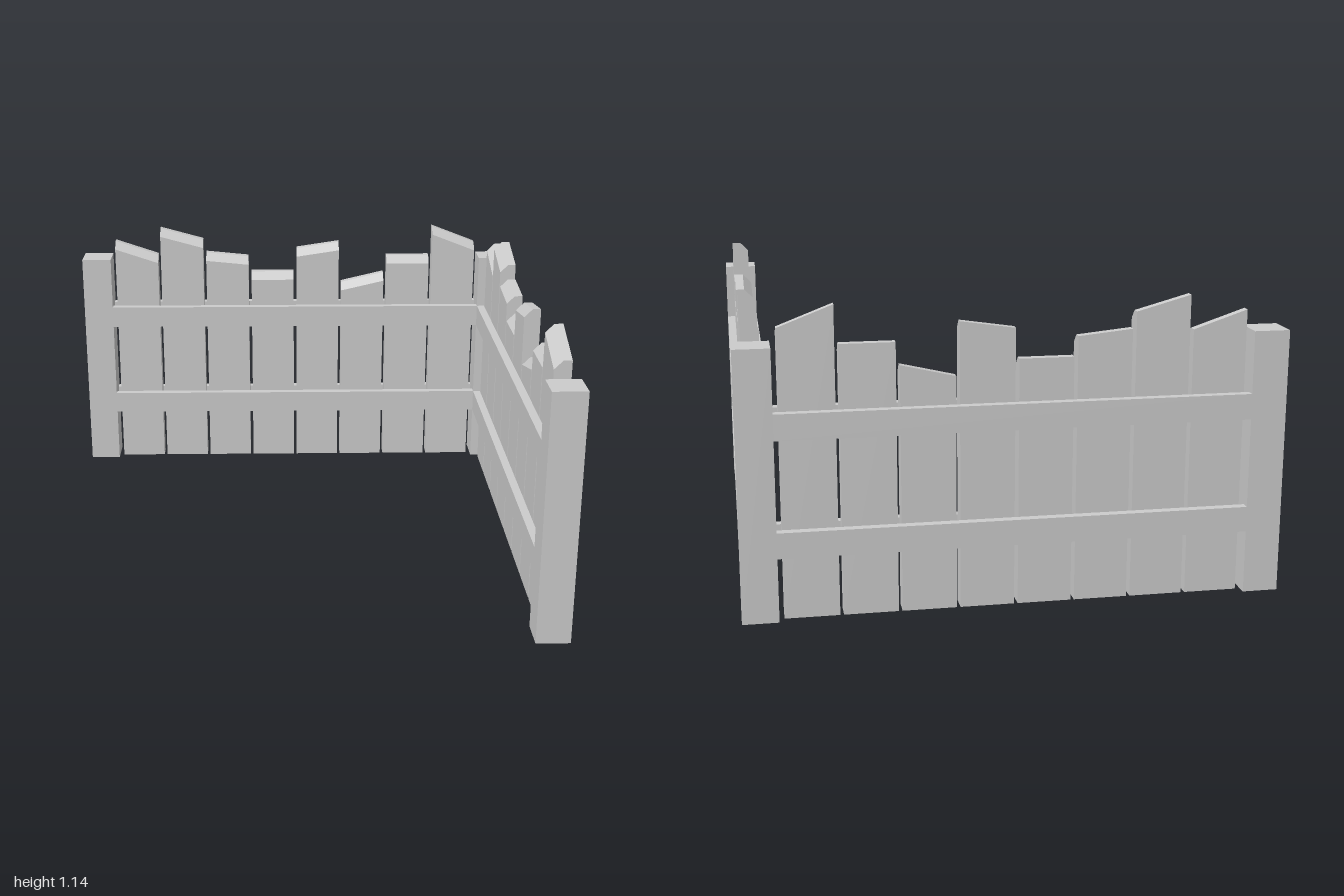
import * as THREE from 'three';

const POST = 0.133;           // post thickness
const MID = 1 - POST / 2;     // centre line of each fence run
const DEPTH = POST / 2;       // plank thickness
const INNER = 1 - POST;       // rails run between the posts

// Height of each plank's top at its left and right edge
const TOPS = [
  [1.075, 1.008], [1.135, 1.08], [1.018, 0.998], [0.924, 0.924],
  [1.036, 1.066], [0.87, 0.917], [1.0, 1.0], [1.14, 1.063],
];

const material = new THREE.MeshStandardMaterial({ color: 0xcccccc, flatShading: true });

function addBox(parent, name, size, position) {
  const mesh = new THREE.Mesh(new THREE.BoxGeometry(...size), material);
  mesh.name = name;
  mesh.position.set(...position);
  parent.add(mesh);
}

// Board with a sloping top whose front half is bevelled down
function plankGeometry(width, left, right) {
  const geometry = new THREE.BoxGeometry(width, 1, DEPTH, 1, 1, 2);
  const p = geometry.attributes.position;
  for (let i = 0; i < p.count; i++) {
    if (p.getY(i) < 0) {
      p.setY(i, 0);
    } else {
      const top = p.getX(i) < 0 ? left : right;
      p.setY(i, top - Math.max(0, p.getZ(i)));
    }
  }
  const flat = geometry.toNonIndexed();
  flat.computeVertexNormals();
  return flat;
}

// One run of planks held between inner and outer rails
function createPanel(name) {
  const panel = new THREE.Group();
  panel.name = name;
  TOPS.forEach(([left, right], i) => {
    const plank = new THREE.Mesh(plankGeometry(0.2, left, right), material);
    plank.name = `plank${i + 1}`;
    plank.position.set((i - 3.5) * 0.2135, 0, -MID);
    panel.add(plank);
  });
  const railDepth = (POST - DEPTH) / 2;
  const offset = (DEPTH + railDepth) / 2;
  for (const [level, y] of [['lower', 0.287], ['upper', 0.719]]) {
    addBox(panel, `${level}OuterRail`, [INNER * 2, 0.096, railDepth], [0, y, -MID - offset]);
    addBox(panel, `${level}InnerRail`, [INNER * 2, 0.096, railDepth], [0, y, -MID + offset]);
  }
  return panel;
}

export function createModel() {
  const fence = new THREE.Group();
  fence.name = 'cornerFence';

  // Two identical panels meeting at a right angle
  const side = createPanel('sidePanel');
  side.rotation.y = -Math.PI / 2;
  fence.add(createPanel('backPanel'), side);

  // Square posts at the corner and both free ends
  addBox(fence, 'cornerPost', [POST, 1, POST], [MID, 0.5, -MID]);
  addBox(fence, 'backEndPost', [POST, 1, POST], [-MID, 0.5, -MID]);
  addBox(fence, 'frontEndPost', [POST, 1, POST], [MID, 0.5, MID]);
  return fence;
}
